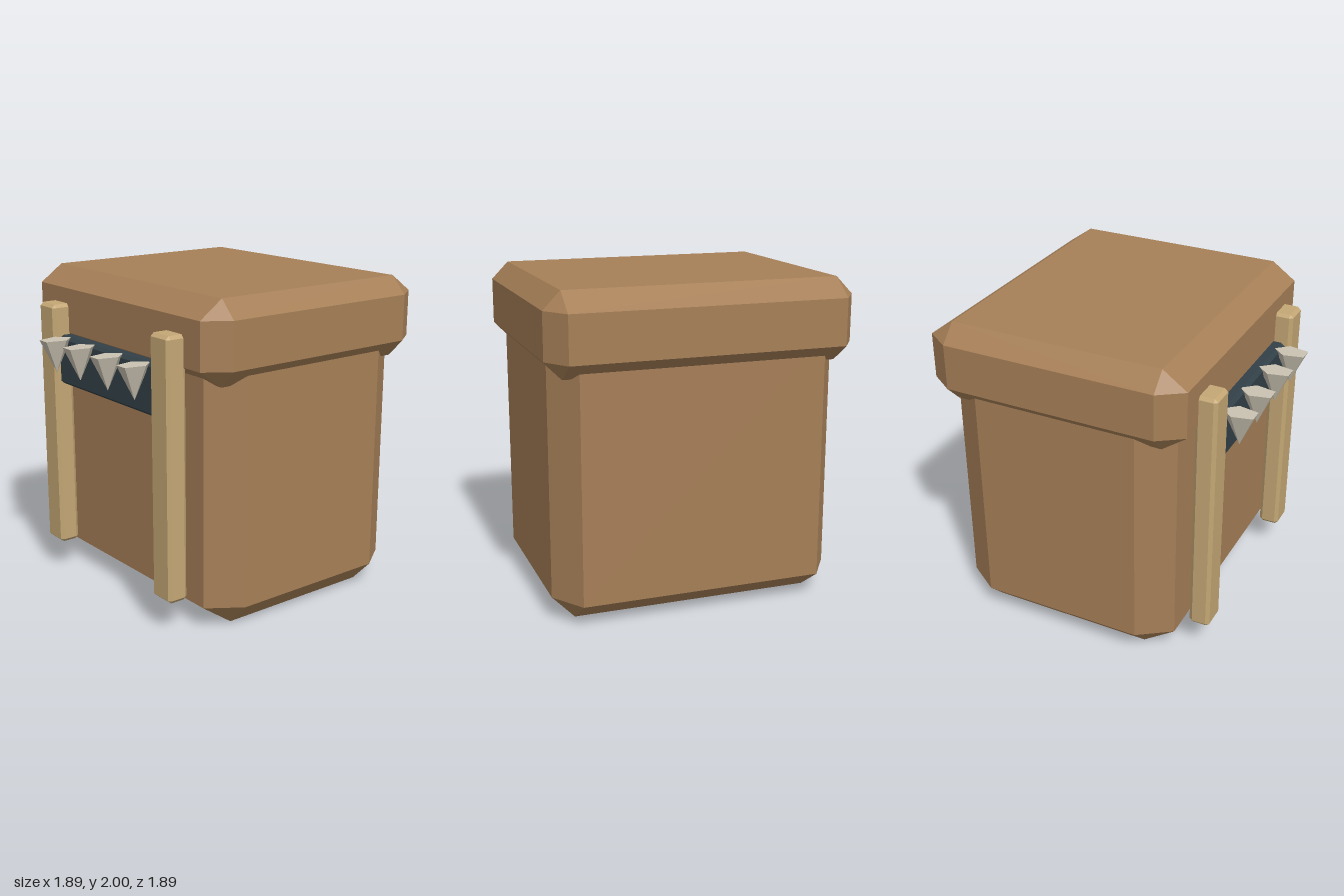
import * as THREE from 'three';
import { ConvexGeometry } from 'three/addons/geometries/ConvexGeometry.js';

// Box with every edge and corner bevelled; lo/hi are opposite corners, c the bevel along each axis
function bevelledBox(lo, hi, c) {
  const points = [];
  for (let i = 0; i < 8; i++) {
    const high = [i & 1, i & 2, i & 4];
    for (let axis = 0; axis < 3; axis++) {
      // only the chosen axis reaches the full extent
      const p = [0, 1, 2].map((k) => {
        const inset = k === axis ? 0 : c[k];
        return high[k] ? hi[k] - inset : lo[k] + inset;
      });
      points.push(new THREE.Vector3(...p));
    }
  }
  return new ConvexGeometry(points);
}

export function createModel() {
  const flat = (name, color) => {
    const m = new THREE.MeshStandardMaterial({ color, flatShading: true });
    m.name = name;
    return m;
  };
  const wood = flat('brown wood', 0xa67f57);
  const paleWood = flat('pale wood', 0xc4a775);
  const darkMetal = flat('dark slate', 0x324047);
  const bone = flat('bone grey', 0xcac2b1);

  const model = new THREE.Group();
  model.name = 'crate';
  const add = (name, geometry, material) => {
    const mesh = new THREE.Mesh(geometry, material);
    mesh.name = name;
    model.add(mesh);
    return mesh;
  };

  // Main box and its overhanging lid
  add('body', bevelledBox([-0.895, 0, -0.845], [0.895, 1.8, 0.61], [0.14, 0.145, 0.205]), wood);
  add('lid', bevelledBox([-0.945, 1.5, -0.945], [0.945, 2, 0.7], [0.105, 0.108, 0.152]), wood);

  // Two upright posts at the front
  for (const [name, x] of [['leftPost', 0.605], ['rightPost', -0.605]]) {
    add(name, bevelledBox([x - 0.087, 0.2, 0.677], [x + 0.087, 1.795, 0.81], [0.017, 0.02, 0.022]), paleWood);
  }

  // Dark crossbar between the posts
  add('crossbar', bevelledBox([-0.6, 1.285, 0.64], [0.6, 1.6, 0.77], [0.02, 0.02, 0.024]), darkMetal);

  // Row of five-sided spikes pointing down
  const spike = new THREE.ConeGeometry(0.074, 0.21, 5);
  spike.rotateX(Math.PI);
  spike.scale(1, 1, 1.53);
  [-0.43, -0.153, 0.15, 0.427].forEach((x, i) => {
    add(`spike${i + 1}`, spike, bone).position.set(x, 1.495, 0.851);
  });

  return model;
}
